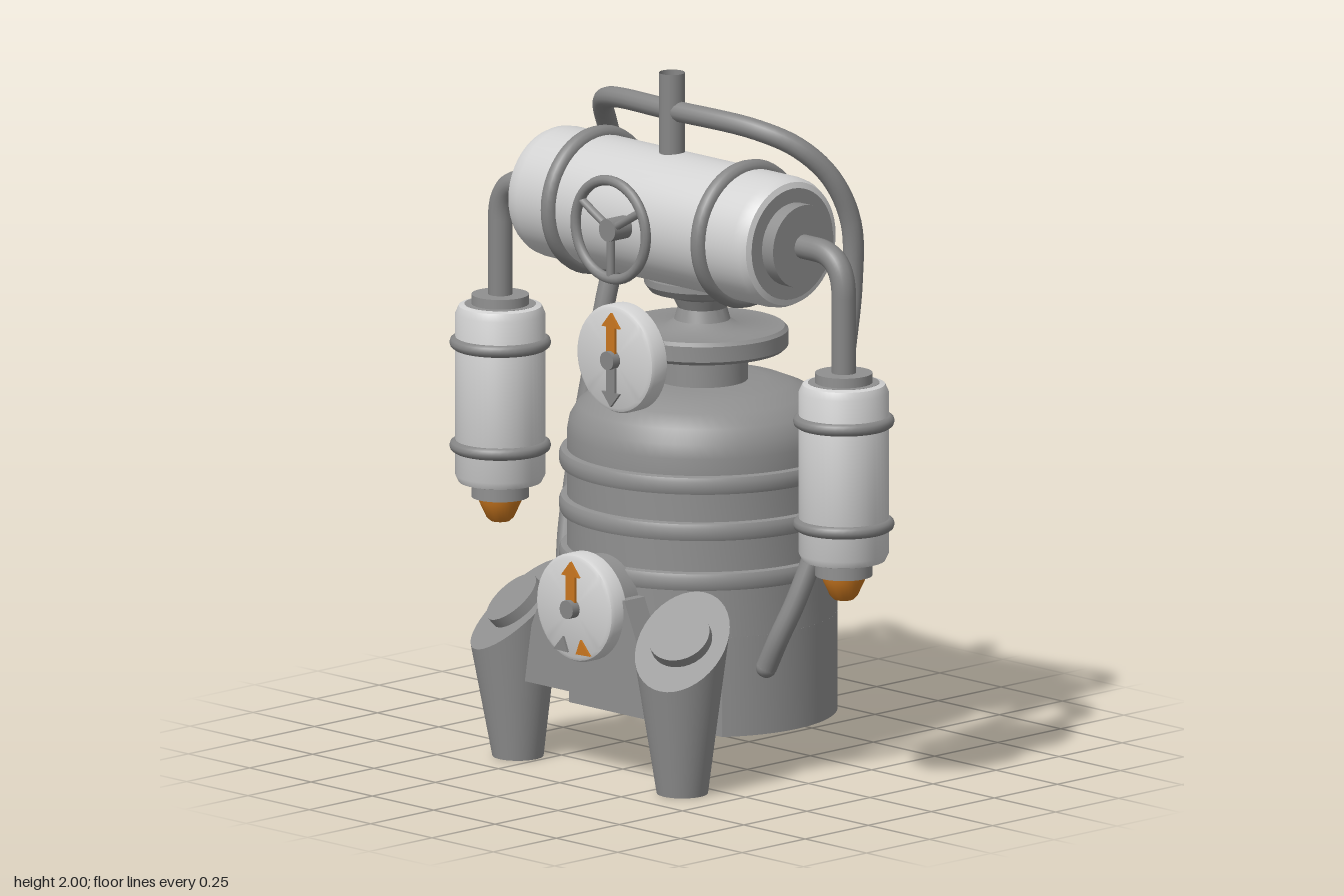
import * as THREE from 'three';
import { toCreasedNormals } from 'three/addons/utils/BufferGeometryUtils.js';

const mat = (name, color) => {
  const m = new THREE.MeshStandardMaterial({ color });
  m.name = name;
  return m;
};

export function createModel() {
  const root = new THREE.Group();
  root.name = 'boilerApparatus';
  const iron = mat('iron grey', 0x909090);
  const pipeGrey = mat('pipe grey', 0x868686);
  const steel = mat('light steel', 0xd2d2d2);
  const orange = mat('orange', 0xc8761f);
  const hollow = mat('hollow pipe grey', 0x868686);
  hollow.side = THREE.DoubleSide;

  const add = (name, geo, material, x = 0, y = 0, z = 0, parent = root) => {
    const m = new THREE.Mesh(geo, material);
    m.name = name;
    m.position.set(x, y, z);
    parent.add(m);
    return m;
  };
  const v = (x, y, z) => new THREE.Vector3(x, y, z);
  const lathe = (pts, seg = 48) => toCreasedNormals(
    new THREE.LatheGeometry(pts.map(p => new THREE.Vector2(p[0], p[1])), seg), 0.6);
  const cyl = (r1, r2, h, seg = 32) => new THREE.CylinderGeometry(r1, r2, h, seg);
  const tube = (pts, r, n = 80) =>
    new THREE.TubeGeometry(new THREE.CatmullRomCurve3(pts), n, r, 14);
  const BZ = -0.065; // boiler axis
  const TZ = 0.055;  // tank axis

  // Boiler: upper shell with three raised bands and a domed top
  const shell = [[0, 0.41], [0.385, 0.41]];
  for (const y of [0.585, 0.73, 0.865]) {
    shell.push([0.385, y - 0.027], [0.402, y - 0.024], [0.407, y - 0.012],
      [0.407, y + 0.012], [0.402, y + 0.024], [0.385, y + 0.027]);
  }
  shell.push([0.385, 0.94], [0.378, 0.98], [0.355, 1.02], [0.31, 1.055],
    [0.25, 1.08], [0.18, 1.09], [0, 1.09]);
  add('boilerShell', lathe(shell, 64), iron, 0, 0, BZ);

  // Boiler base, cut flat at the front
  const base = new THREE.Shape();
  base.absarc(0, 0, 0.385, -0.624, Math.PI + 0.624, false);
  base.closePath();
  const baseGeo = new THREE.ExtrudeGeometry(base,
    { depth: 0.29, bevelEnabled: false, curveSegments: 48 });
  baseGeo.rotateX(-Math.PI / 2);
  add('boilerBase', toCreasedNormals(baseGeo, 0.4), iron, 0, 0.13, BZ);
  add('drainPlug', cyl(0.075, 0.075, 0.008), steel, 0, 0.129, BZ);

  // Neck, wide flange and flared saddle under the tank
  add('neck', lathe([[0.13, 1.08], [0.13, 1.18], [0.235, 1.18], [0.245, 1.19],
    [0.245, 1.235], [0.235, 1.245], [0.11, 1.245], [0.08, 1.265], [0.07, 1.3],
    [0.085, 1.33], [0.15, 1.35], [0.165, 1.37], [0.165, 1.39], [0, 1.39]]),
  iron, 0, 0, BZ);

  // Horizontal tank
  const tank = new THREE.Group();
  tank.name = 'tank';
  tank.position.set(0, 1.58, TZ);
  root.add(tank);
  add('tankShell', lathe([[0.16, -0.49], [0.178, -0.484], [0.187, -0.465],
    [0.19, -0.44], [0.19, 0.44], [0.187, 0.465], [0.178, 0.484], [0.16, 0.49]]),
  steel, 0, 0, 0, tank).rotation.z = Math.PI / 2;
  add('tankEnds', cyl(0.161, 0.161, 0.98, 48), iron, 0, 0, 0, tank).rotation.z = Math.PI / 2;
  add('tankCaps', cyl(0.12, 0.12, 1.07, 40), iron, 0, 0, 0, tank).rotation.z = Math.PI / 2;
  for (const s of [-1, 1]) {
    add('tankHoop', new THREE.TorusGeometry(0.19, 0.025, 12, 48), pipeGrey,
      s * 0.305, 0, 0, tank).rotation.y = Math.PI / 2;
  }
  add('chimneyPipe', new THREE.CylinderGeometry(0.037, 0.037, 0.26, 24, 1, true),
    hollow, 0, 1.87, TZ);

  // Handwheel on the tank front
  const wheel = new THREE.Group();
  wheel.name = 'handwheel';
  wheel.position.set(0, 1.58, 0.298);
  root.add(wheel);
  add('wheelRim', new THREE.TorusGeometry(0.143, 0.015, 10, 48), pipeGrey, 0, 0, 0, wheel);
  add('wheelShaft', cyl(0.033, 0.033, 0.1, 24), pipeGrey, 0, 0, -0.035, wheel)
    .rotation.x = Math.PI / 2;
  for (let i = 0; i < 3; i++) {
    const a = -Math.PI / 2 + i * Math.PI * 2 / 3;
    add('wheelSpoke', cyl(0.012, 0.012, 0.14, 10), pipeGrey,
      Math.cos(a) * 0.07, Math.sin(a) * 0.07, 0, wheel).rotation.z = a - Math.PI / 2;
  }

  // Hose looping over the tank and down both sides
  const half = [[0.3, 1.872, 0.005], [0.4, 1.825, -0.06], [0.455, 1.735, -0.135],
    [0.478, 1.6, -0.19], [0.475, 1.42, -0.197], [0.488, 1.22, -0.155],
    [0.503, 0.95, -0.1], [0.502, 0.74, -0.05], [0.47, 0.54, 0.015],
    [0.43, 0.42, 0.05], [0.39, 0.33, 0.06]];
  const hose = [...half.map(p => v(-p[0], p[1], p[2])).reverse(),
    v(0, 1.89, TZ), ...half.map(p => v(...p))];
  add('hose', tube(hose, 0.03, 160), pipeGrey);
  for (const s of [-1, 1]) {
    add('hoseEnd', new THREE.SphereGeometry(0.03, 14, 10), pipeGrey, s * 0.39, 0.33, 0.06);
  }

  // Arrow plate pointing up, its tail start and tip measured from the hub
  const arrow = (from, neck, tip, w) => {
    const s = new THREE.Shape([[-w, from], [w, from], [w, neck], [2 * w, neck],
      [0, tip], [-2 * w, neck], [-w, neck]].map(p => new THREE.Vector2(p[0], p[1])));
    return new THREE.ExtrudeGeometry(s, { depth: 0.008, bevelEnabled: false });
  };

  // Round gauge facing forward
  const gauge = (name, y, zBack) => {
    const g = new THREE.Group();
    g.name = name;
    g.position.set(0, y, zBack);
    root.add(g);
    add('gaugeCase', lathe([[0, 0], [0.15, 0], [0.157, 0.008], [0.157, 0.052],
      [0.152, 0.062], [0.142, 0.067], [0, 0.067]]), steel, 0, 0, 0, g).rotation.x = Math.PI / 2;
    add('gaugeNeedle', arrow(0.02, 0.095, 0.137, 0.018), orange, 0, 0, 0.072, g);
    add('gaugeHub', cyl(0.027, 0.027, 0.035, 20), pipeGrey, 0, 0, 0.077, g)
      .rotation.x = Math.PI / 2;
    return g;
  };
  const upper = gauge('upperGauge', 1.2, 0.22);
  add('needleTail', arrow(0.02, 0.095, 0.137, 0.018), pipeGrey, 0, 0, 0.072, upper)
    .rotation.z = Math.PI;
  const lower = gauge('lowerGauge', 0.5, 0.38);
  for (const s of [-1, 1]) {
    const mark = new THREE.Shape([[-0.024, -0.026], [0.024, -0.026], [0, 0.026]]
      .map(p => new THREE.Vector2(p[0], p[1])));
    add('gaugeMark', new THREE.ExtrudeGeometry(mark, { depth: 0.008, bevelEnabled: false }),
      s > 0 ? orange : pipeGrey, s * 0.05, -0.118, 0.066, lower).rotation.z = -s * 1.97;
  }
  add('gaugeMount', cyl(0.14, 0.14, 0.07, 40), iron, 0, 0.5, 0.355).rotation.x = Math.PI / 2;

  // Sloping bridge between the legs
  const bridge = new THREE.Shape([[-0.26, 0.24], [0.26, 0.24], [0.24, 0.36], [0.16, 0.54],
    [-0.16, 0.54], [-0.24, 0.36]].map(p => new THREE.Vector2(p[0], p[1])));
  add('legBridge', new THREE.ExtrudeGeometry(bridge, { depth: 0.08, bevelEnabled: false }),
    iron, 0, 0, 0.32);

  for (const s of [-1, 1]) {
    // Tapered leg, its top sliced forward and outward
    const slopeX = 0.35, slopeZ = 0.8;
    const legGeo = cyl(0.135, 0.073, 0.44, 40);
    legGeo.translate(0, 0.22, 0);
    const p = legGeo.attributes.position;
    for (let i = 0; i < p.count; i++) {
      if (p.getY(i) > 0.4) p.setY(i, 0.44 - slopeX * s * p.getX(i) - slopeZ * p.getZ(i));
    }
    add('leg', toCreasedNormals(legGeo, 0.6), iron, s * 0.335, 0, 0.34);
    const n = v(s * slopeX, 1, slopeZ).normalize();
    add('legCap', cyl(0.09, 0.09, 0.05), iron, s * 0.335, 0.445, 0.345)
      .quaternion.setFromUnitVectors(v(0, 1, 0), n);

    // Elbow pipe from the tank to the side bottle
    const elbow = new THREE.CurvePath();
    elbow.add(new THREE.LineCurve3(v(s * 0.52, 1.58, TZ), v(s * 0.59, 1.58, TZ)));
    elbow.add(new THREE.QuadraticBezierCurve3(v(s * 0.59, 1.58, TZ),
      v(s * 0.7, 1.58, TZ), v(s * 0.7, 1.46, TZ)));
    elbow.add(new THREE.LineCurve3(v(s * 0.7, 1.46, TZ), v(s * 0.7, 1.22, TZ)));
    add('elbowPipe', new THREE.TubeGeometry(elbow, 48, 0.035, 16), pipeGrey);

    // Side bottle with hoops, collars and nozzle
    const b = new THREE.Group();
    b.name = 'sideBottle';
    b.position.set(s * 0.7, 0, TZ);
    root.add(b);
    add('bottleShell', lathe([[0.1, 0.69], [0.118, 0.695], [0.128, 0.715], [0.128, 1.185],
      [0.118, 1.207], [0.1, 1.212]]), steel, 0, 0, 0, b);
    add('bottleEnds', cyl(0.102, 0.102, 0.522, 40), iron, 0, 0.951, 0, b);
    add('bottleCollars', cyl(0.082, 0.082, 0.59), iron, 0, 0.945, 0, b);
    for (const y of [0.8, 1.1]) {
      add('bottleHoop', new THREE.TorusGeometry(0.127, 0.018, 10, 40), pipeGrey, 0, y, 0, b)
        .rotation.x = Math.PI / 2;
    }
    add('nozzle', lathe([[0, 0.577], [0.028, 0.58], [0.04, 0.592], [0.06, 0.635],
      [0.063, 0.655], [0, 0.655]], 32), orange, 0, 0, 0, b);
  }
  return root;
}
